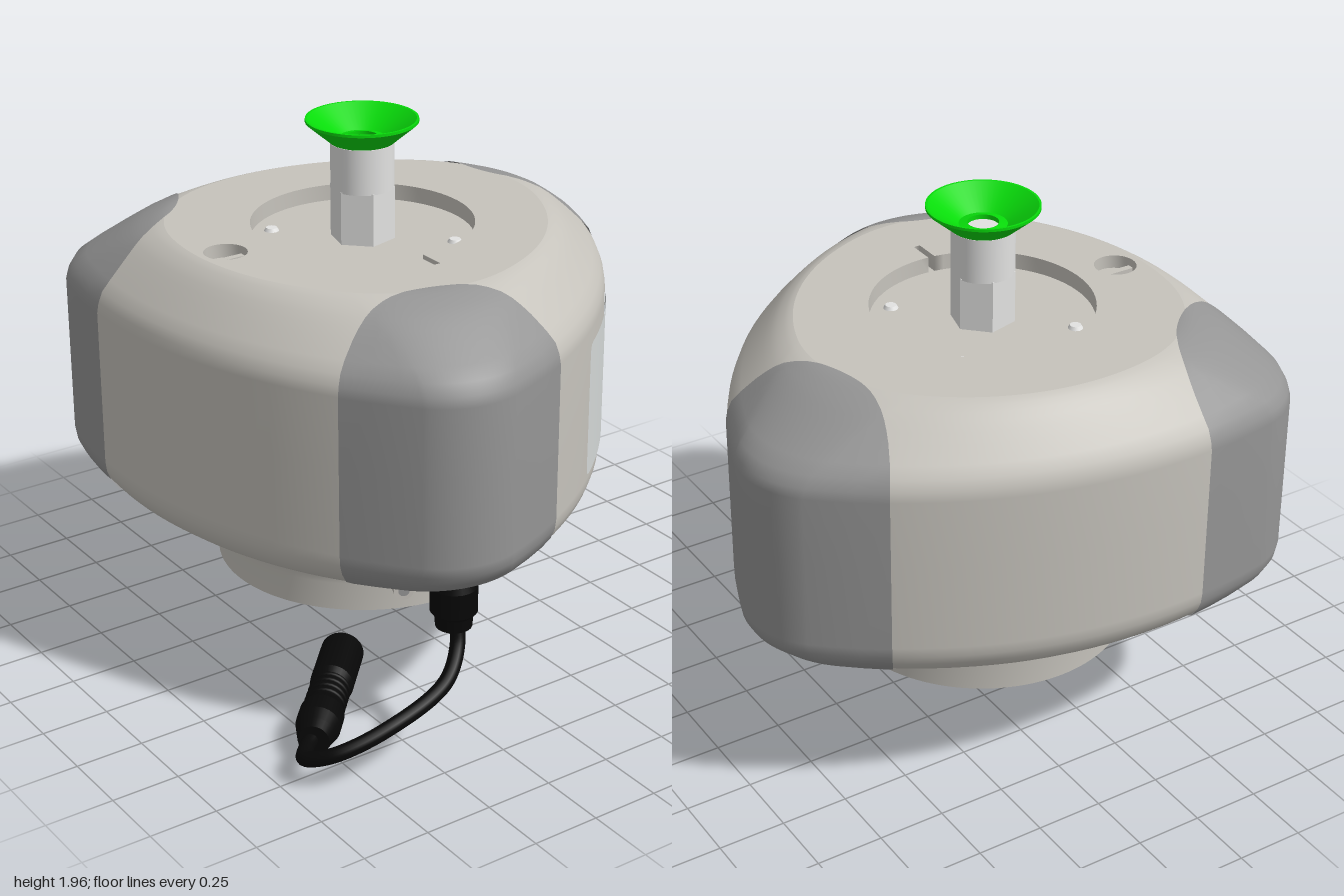
import * as THREE from 'three';

const rad = Math.PI / 180;
const paint = (name, color) => Object.assign(
  new THREE.MeshStandardMaterial({ color, side: THREE.DoubleSide }), { name });

// Rounded triangle: three corner arcs joined by three wide side arcs
const CORNER_DIST = 0.78, CORNER_R = 0.31, SIDE_R = 1.79, SIDE_DIST = 0.927;
const JOIN = 32.84 * rad, LOBES = [-15, 105, 225].map(a => a * rad);
function outline(theta, grow = 0) {
  const lobe = Math.round((theta + 15 * rad) / (120 * rad)) * 120 * rad - 15 * rad;
  const phi = theta - lobe;
  const corner = Math.abs(phi) <= JOIN;
  const a = corner ? lobe : lobe + Math.sign(phi) * 60 * rad;
  const c = corner ? CORNER_DIST : -SIDE_DIST;
  const r = (corner ? CORNER_R : SIDE_R) + grow;
  return [c * Math.cos(a) + r * Math.cos(theta), c * Math.sin(a) + r * Math.sin(theta)];
}

// Blend from the outline (t = 0) towards a circle (t = 1)
const INNER_R = 0.59;
function hull(theta, t, grow) {
  const [x, z] = outline(theta, grow);
  return [x + (INNER_R * Math.cos(theta) - x) * t, z + (INNER_R * Math.sin(theta) - z) * t];
}

// Housing profile: [blend, height] from underside to top
const TOP_BLEND = 0.76;
const PROFILE = [[1, 0.558], [0.9, 0.568], [0.75, 0.582], [0.6, 0.595], [0.45, 0.611],
  [0.3, 0.632], [0.16, 0.662], [0.06, 0.703], [0.015, 0.74], [0, 0.78], [0, 1.1], [0, 1.36],
  [0.02, 1.395], [0.07, 1.432], [0.17, 1.468], [0.33, 1.52], [0.42, 1.548], [0.5, 1.572],
  [0.58, 1.592], [0.66, 1.607], [0.71, 1.615], [TOP_BLEND, 1.62]];

// Skin over rows of [x, y, z] points
function skin(rows, closed = false) {
  const n = rows[0].length, idx = [], m = closed ? n : n - 1;
  for (let j = 0; j < rows.length - 1; j++) {
    for (let i = 0; i < m; i++) {
      const k = (i + 1) % n, a = j * n + i, b = j * n + k, c = a + n, d = b + n;
      idx.push(a, c, b, b, c, d);
    }
  }
  const g = new THREE.BufferGeometry();
  g.setAttribute('position', new THREE.Float32BufferAttribute(rows.flat(2), 3));
  g.setIndex(idx);
  g.computeVertexNormals();
  return g;
}

// Each straight run of the profile keeps its own normals, so edges stay sharp
function addTurned(parent, name, points, mat, segments = 48) {
  const part = new THREE.Group();
  part.name = name;
  for (let i = 0; i < points.length - 1; i++) {
    const run = [points[i], points[i + 1]].map(p => new THREE.Vector2(...p));
    const m = new THREE.Mesh(new THREE.LatheGeometry(run, segments), mat);
    m.name = name + 'Band';
    part.add(m);
  }
  parent.add(part);
  return part;
}

export function createModel() {
  const shell = paint('warm grey shell', 0xc6c3bc);
  const guard = paint('mid grey guard', 0x959595);
  const plate = paint('pale plate', 0xd4d8d7);
  const metal = paint('light metal', 0xe2e2e1);
  const green = paint('green rubber', 0x08dc0a);
  const black = paint('black plastic', 0x070707);

  const model = new THREE.Group();
  model.name = 'gripperUnit';
  const unit = new THREE.Group();
  unit.name = 'housing';
  unit.position.set(-0.085, 0, -0.085);
  model.add(unit);
  const add = (name, geo, mat, x = 0, y = 0, z = 0, parent = unit) => {
    const m = new THREE.Mesh(geo, mat);
    m.name = name;
    m.position.set(x, y, z);
    parent.add(m);
    return m;
  };

  // Main shell, flowing into the round neck below
  const thetas = Array.from({ length: 144 }, (_, i) => i * 2.5 * rad);
  const neck = [[0.546, 0.345], [0.546, 0.45], [0.55, 0.48], [0.558, 0.51], [0.57, 0.537]];
  add('shell', skin([
    ...neck.map(([r, y]) => thetas.map(t => [r * Math.cos(t), y, r * Math.sin(t)])),
    ...PROFILE.map(([d, y]) => thetas.map(t => {
      const [x, z] = hull(t, d);
      return [x, y, z];
    }))], true), shell);

  // Flat top with a round recess, its notch and an access hole
  const recess = [];
  const gap = Math.asin(0.0125 / 0.4), slot = Math.PI / 2 + 0.0875;
  for (let i = 0; i <= 72; i++) {
    const a = slot + gap + (Math.PI * 2 - 2 * gap) * i / 72;
    recess.push([0.4 * Math.cos(a), 0.4 * Math.sin(a)]);
  }
  recess.push([-0.0225, 0.5], [-0.0475, 0.5]);
  const access = Array.from({ length: 32 }, (_, i) => {
    const a = i / 32 * Math.PI * 2;
    return [-0.563 + 0.077 * Math.cos(a), -0.01 + 0.077 * Math.sin(a)];
  });
  const flat = pts => pts.map(([x, z]) => new THREE.Vector2(x, -z));
  const topShape = new THREE.Shape(flat(thetas.map(t => hull(t, TOP_BLEND))));
  topShape.holes = [recess, access].map(p => new THREE.Path(flat(p)));
  add('topFace', new THREE.ShapeGeometry(topShape).rotateX(-Math.PI / 2), shell, 0, 1.62, 0);
  for (const [name, pts, y] of [['recess', recess, 1.56], ['accessHole', access, 1.57]]) {
    add(name + 'Wall', skin([y, 1.62].map(h => pts.map(([x, z]) => [x, h, z])), true), shell);
    add(name + 'Floor', new THREE.ShapeGeometry(new THREE.Shape(flat(pts))).rotateX(-Math.PI / 2), shell, 0, y, 0);
  }
  add('accessBar', new THREE.BoxGeometry(0.14, 0.02, 0.025), shell, -0.563, 1.585, -0.01);
  for (const sx of [-1, 1]) for (const sz of [-1, 1])
    add('screw', new THREE.CylinderGeometry(0.02, 0.027, 0.012, 20), metal, sx * 0.235, 1.566, sz * 0.235);

  // Corner guards: the part of the shell inside a circle around each corner
  const GUARD_DIST = 1.2, GUARD_R = 0.51, COLS = 24, LIFT = 0.004;
  for (const lobe of LOBES) {
    const cx = GUARD_DIST * Math.cos(lobe), cz = GUARD_DIST * Math.sin(lobe);
    const rows = PROFILE.filter(([t]) => t < 0.78).map(([t, y]) => {
      let lo = 0, hi = 60 * rad;
      for (let k = 0; k < 30; k++) {
        const mid = (lo + hi) / 2, [x, z] = hull(lobe + mid, t, LIFT);
        if (Math.hypot(x - cx, z - cz) < GUARD_R) lo = mid; else hi = mid;
      }
      const lift = y > 1.4 ? LIFT : y < 0.7 ? -LIFT : 0;
      return Array.from({ length: COLS + 1 }, (_, i) => {
        const [x, z] = hull(lobe + lo * (i / COLS * 2 - 1), t, LIFT);
        return [x, y + lift, z];
      });
    });
    const arcRow = (row, y) => {
      const back = lobe + Math.PI, end = row[COLS];
      let half = Math.atan2(end[2] - cz, end[0] - cx) - back;
      half = Math.atan2(Math.sin(half), Math.cos(half));
      return row.map((_, i) => {
        const a = back + half * (i / COLS * 2 - 1);
        return [cx + GUARD_R * Math.cos(a), y, cz + GUARD_R * Math.sin(a)];
      });
    };
    rows.unshift(arcRow(rows[0], 0.573));
    rows.push(arcRow(rows[rows.length - 1], 1.62 + LIFT));
    add('cornerGuard', skin(rows), guard);
  }

  // Curved label with rounded corners on the front left side
  const labelRows = [];
  for (const [y, cut] of [[0, 0.03], [0.004, 0.015], [0.012, 0.006], [0.03, 0],
    [0.48, 0], [0.498, 0.006], [0.506, 0.015], [0.51, 0.03]]) {
    const half = 8.2 * rad - cut / SIDE_R;
    labelRows.push(Array.from({ length: 17 }, (_, i) => {
      const [x, z] = outline(45 * rad + half * (1 - i / 8), 0.005);
      return [x, 0.8 + y, z];
    }));
  }
  add('label', skin(labelRows), plate);

  // Neck rim, bore, the plate inside and the locking pins
  addTurned(unit, 'neckBore', [[0.546, 0.345], [0.465, 0.345], [0.465, 0.6]], shell, 72);
  add('innerPlate', new THREE.CircleGeometry(0.47, 64).rotateX(Math.PI / 2), plate, 0, 0.595, 0);
  const radial = (name, deg, r, y, geo, mat) => {
    const part = add(name, geo, mat, r * Math.cos(deg * rad), y, r * Math.sin(deg * rad));
    part.rotation.y = -deg * rad;
  };
  const peg = (r, len) => new THREE.CylinderGeometry(r, r, len, 24).rotateZ(Math.PI / 2);
  for (const deg of [-23, 113, 225]) {
    radial('lockPin', deg, 0.6, 0.5, peg(0.036, 0.2), shell);
    radial('lockPinSocket', deg, 0.7, 0.5, peg(0.02, 0.004), guard);
    radial('boreScrew', deg, 0.45, 0.5, peg(0.034, 0.05), shell);
  }
  radial('boreKey', 142, 0.445, 0.5, new THREE.BoxGeometry(0.06, 0.15, 0.1), shell);

  // Hex nut, stem and suction cup
  const nut = new THREE.CylinderGeometry(0.116, 0.116, 0.195, 6).toNonIndexed();
  nut.computeVertexNormals();
  add('hexNut', nut.rotateY(45 * rad), metal, 0, 1.6575, 0);
  add('stem', new THREE.CylinderGeometry(0.113, 0.113, 0.165, 40), metal, 0, 1.8325, 0);
  addTurned(unit, 'suctionCup', [[0.055, 1.917], [0.115, 1.917], [0.2, 1.99], [0.2, 2],
    [0.192, 2], [0.085, 1.928], [0.055, 1.934], [0.055, 1.917]], green);

  // Cable gland, cable and plug
  const gland = addTurned(model, 'cableGland', [[0.02, 0.465], [0.064, 0.465], [0.068, 0.51],
    [0.083, 0.525], [0.083, 0.62], [0.074, 0.645], [0, 0.645]], black, 24);
  gland.position.set(-0.318, 0, 0.797);
  const path = new THREE.CatmullRomCurve3([[-0.315, 0.5, 0.8], [-0.325, 0.41, 0.83],
    [-0.42, 0.315, 0.89], [-0.68, 0.235, 0.915], [-0.86, 0.175, 0.865], [-0.915, 0.135, 0.775],
    [-0.865, 0.122, 0.705], [-0.79, 0.12, 0.645]].map(p => new THREE.Vector3(...p)));
  add('cable', new THREE.TubeGeometry(path, 80, 0.027, 14), black, 0, 0, 0, model);

  const plug = new THREE.Group();
  plug.name = 'plug';
  plug.position.set(-0.82, 0.122, 0.68);
  plug.quaternion.setFromUnitVectors(new THREE.Vector3(0, 1, 0),
    new THREE.Vector3(0.41, 0, -0.435).normalize());
  model.add(plug);
  addTurned(plug, 'plugBody', [[0, 0], [0.055, 0], [0.066, 0.04], [0.079, 0.09], [0.079, 0.17],
    [0.066, 0.21], [0.066, 0.34], [0.078, 0.37], [0.078, 0.6], [0.069, 0.6]], black, 28);
  for (let i = 0; i < 4; i++) {
    add('gripRib', new THREE.TorusGeometry(0.066, 0.008, 8, 28).rotateX(Math.PI / 2), black,
      0, 0.225 + i * 0.035, 0, plug);
  }
  addTurned(plug, 'plugSocket', [[0.069, 0.6], [0.063, 0.595], [0.063, 0.5], [0, 0.5]], metal, 28);
  for (let i = 0; i < 4; i++) {
    const a = i * Math.PI / 2;
    add('contact', new THREE.CylinderGeometry(0.008, 0.008, 0.07, 10), metal,
      0.028 * Math.cos(a), 0.535, 0.028 * Math.sin(a), plug);
  }
  return model;
}
